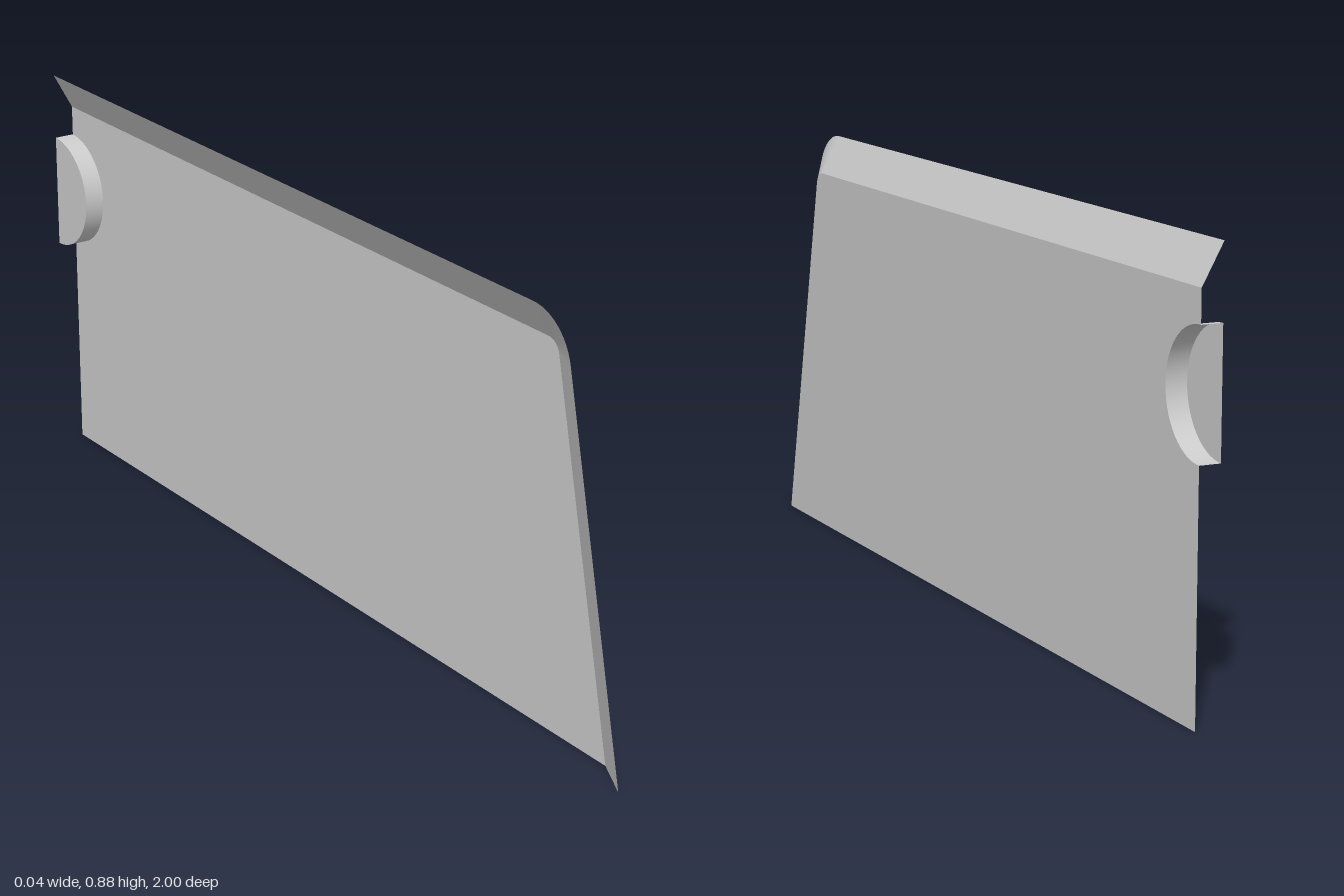
import * as THREE from 'three';

const H = 0.022;                                // half depth of the panel
const NOTCH = { u: 1, y: 0.61, r: 0.125 };      // finger recess on the rear edge

// Profiles are drawn in (u, y) with u = -z.
// Panel edge: raked front, rounded corner, level top.
function edgePath(footU, topY, radius) {
  const rake = Math.atan2(0.198, 0.88);
  const sweep = Math.PI / 2 - rake;
  const t = radius * Math.tan(sweep / 2);
  const cornerU = footU + topY * Math.tan(rake);
  const cu = cornerU + t, cy = topY - radius;
  const pts = [new THREE.Vector2(footU, 0)];
  for (let i = 0; i <= 12; i++) {
    const a = Math.PI - rake - (sweep * i) / 12;
    pts.push(new THREE.Vector2(cu + radius * Math.cos(a), cy + radius * Math.sin(a)));
  }
  pts.push(new THREE.Vector2(1, topY));
  return pts;
}

// Half circle of the recess, from bottom to top
function notchPath() {
  const pts = [];
  for (let i = 0; i <= 28; i++) {
    const a = Math.PI * (1.5 - i / 28);
    pts.push(new THREE.Vector2(NOTCH.u + NOTCH.r * Math.cos(a), NOTCH.y + NOTCH.r * Math.sin(a)));
  }
  return pts;
}

// Ruled surface between path a at x = xa and path b at x = xb
function strip(a, xa, b, xb) {
  const pos = [], index = [];
  a.forEach((p, i) => {
    pos.push(xa, p.y, -p.x, xb, b[i].y, -b[i].x);
    if (i > 0) {
      const k = 2 * (i - 1);
      index.push(k, k + 3, k + 2, k, k + 1, k + 3);
    }
  });
  const geo = new THREE.BufferGeometry();
  geo.setAttribute('position', new THREE.Float32BufferAttribute(pos, 3));
  geo.setIndex(index);
  geo.computeVertexNormals();
  return geo;
}

// Flat sheet facing +x
function sheet(points, x) {
  return new THREE.ShapeGeometry(new THREE.Shape(points)).rotateY(Math.PI / 2).translate(x, 0, 0);
}

export function createModel() {
  const group = new THREE.Group();
  const material = new THREE.MeshStandardMaterial({ color: 0xcccccc, side: THREE.DoubleSide });
  const add = (name, geo) => {
    const mesh = new THREE.Mesh(geo, material);
    mesh.name = name;
    group.add(mesh);
  };

  const outer = edgePath(-1, 0.88, 0.115);
  const inner = edgePath(-0.91, 0.8, 0.032);
  const notch = notchPath();

  // Main face with the half-round notch cut into its rear edge
  add('panelFace', sheet([...inner, ...[...notch].reverse(), new THREE.Vector2(1, 0)], H));
  // Sloped rim along the front and top
  add('bevelRim', strip(outer, -H, inner, H));
  // Recess wall and floor
  add('recessWall', strip(notch, H, notch, -H));
  add('recessFloor', sheet(notch, -H));

  return group;
}
